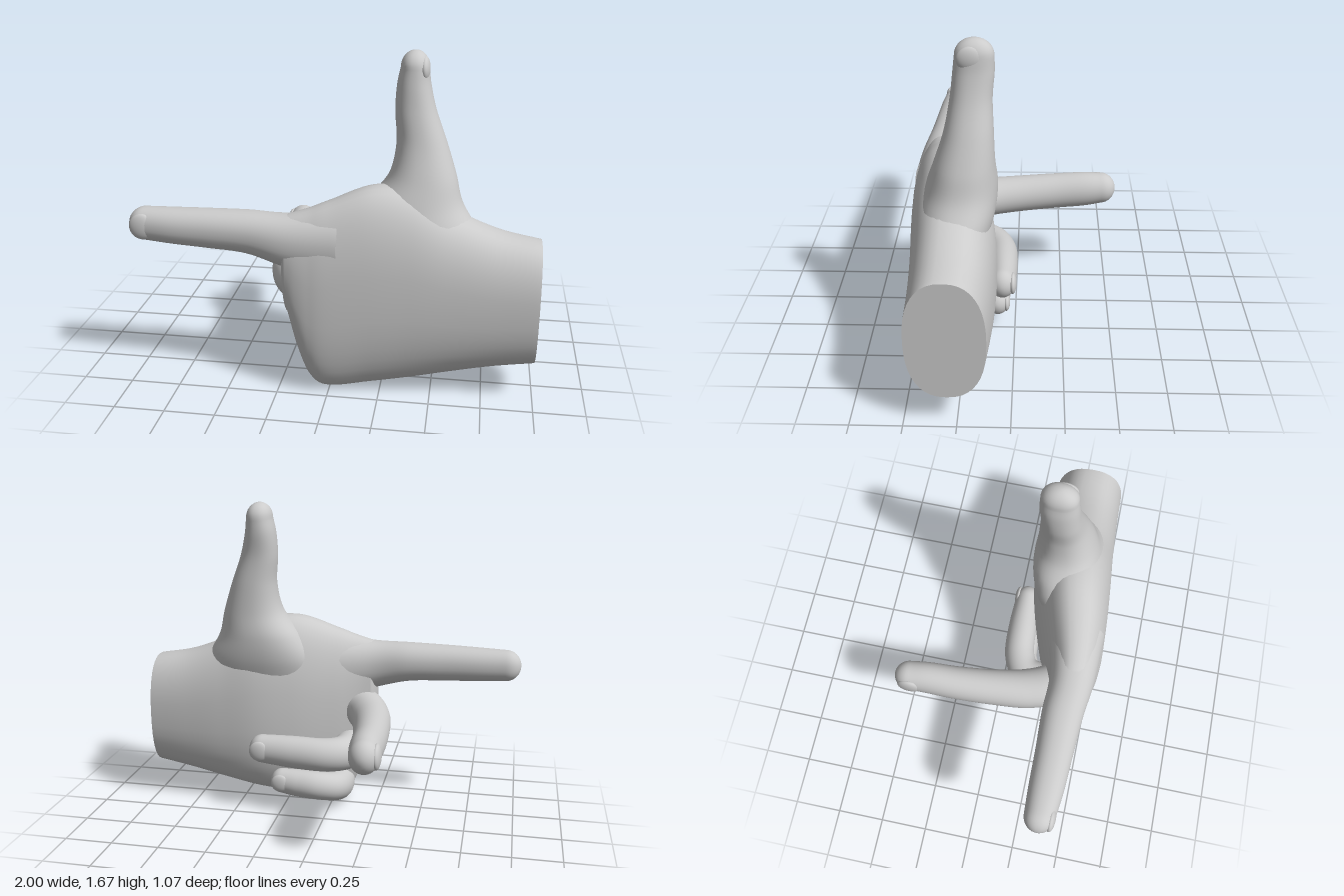
import * as THREE from 'three';

const material = new THREE.MeshStandardMaterial({ color: 0xcccccc, side: THREE.DoubleSide });
const X = new THREE.Vector3(1, 0, 0);
const Y = new THREE.Vector3(0, 1, 0);
const SIDES = 40;

// Skin along rows of [x, y, z, halfU, halfV]; halfU is measured along ref.
// With axis set all sections stay parallel, otherwise they follow the path. The end is a dome.
function loft(name, rows, ref, { axis = null, dome = 0.07, power = 2, steps = 8 } = {}) {
  const spline = (f) => new THREE.CatmullRomCurve3(rows.map(f), false, 'catmullrom', 0.5);
  const path = spline((r) => new THREE.Vector3(r[0], r[1], r[2]));
  const size = spline((r) => new THREE.Vector3(r[3], r[4], 0));
  const pos = [], index = [];
  const n = (rows.length - 1) * steps, domeSteps = 9;
  const round = (c) => Math.sign(c) * Math.abs(c) ** (2 / power);

  const addRing = (c, t, a, b) => {
    const u = ref.clone().addScaledVector(t, -ref.dot(t)).normalize();
    const v = new THREE.Vector3().crossVectors(t, u);
    for (let j = 0; j < SIDES; j++) {
      const th = (j / SIDES) * Math.PI * 2;
      const p = c.clone()
        .addScaledVector(u, a * round(Math.cos(th)))
        .addScaledVector(v, b * round(Math.sin(th)));
      pos.push(p.x, p.y, p.z);
    }
  };

  let rings = 0;
  for (let i = 0; i <= n; i++, rings++) {
    const s = size.getPoint(i / n);
    addRing(path.getPoint(i / n), axis || path.getTangent(i / n), s.x, s.y);
  }
  const end = path.getPoint(1), dir = axis || path.getTangent(1), s = size.getPoint(1);
  for (let k = 1; k < domeSteps; k++, rings++) {
    const q = (k / domeSteps) * Math.PI / 2;
    addRing(end.clone().addScaledVector(dir, dome * Math.sin(q)), dir, s.x * Math.cos(q), s.y * Math.cos(q));
  }
  for (let i = 0; i < rings - 1; i++) {
    for (let j = 0; j < SIDES; j++) {
      const a = i * SIDES + j, b = i * SIDES + (j + 1) % SIDES;
      index.push(a, b, b + SIDES, a, b + SIDES, a + SIDES);
    }
  }
  // pole of the dome
  const pole = pos.length / 3, last = (rings - 1) * SIDES;
  const tip = end.clone().addScaledVector(dir, dome);
  pos.push(tip.x, tip.y, tip.z);
  for (let j = 0; j < SIDES; j++) index.push(last + j, last + (j + 1) % SIDES, pole);
  // flat start cap with its own corners, so the rim stays sharp
  const cap = pos.length / 3;
  pos.push(...pos.slice(0, SIDES * 3), ...path.getPoint(0).toArray());
  for (let j = 0; j < SIDES; j++) index.push(cap + SIDES, cap + (j + 1) % SIDES, cap + j);

  const geo = new THREE.BufferGeometry();
  geo.setAttribute('position', new THREE.Float32BufferAttribute(pos, 3));
  geo.setIndex(index);
  geo.computeVertexNormals();
  const mesh = new THREE.Mesh(geo, material);
  mesh.name = name;
  return mesh;
}

// Nail: a flattened ellipsoid sunk into the fingertip
function nail(name, center, half) {
  const mesh = new THREE.Mesh(new THREE.SphereGeometry(1, 24, 16), material);
  mesh.position.set(...center);
  mesh.scale.set(...half);
  mesh.name = name;
  return mesh;
}

// Turns [x, y0, y1, z0, z1] extents into a loft row
const acrossX = ([x, y0, y1, z0, z1]) => [x, (y0 + y1) / 2, (z0 + z1) / 2, (y1 - y0) / 2, (z1 - z0) / 2];
// Turns [y, x0, x1, z0, z1] extents into a loft row
const acrossY = ([y, x0, x1, z0, z1]) => [(x0 + x1) / 2, y, (z0 + z1) / 2, (x1 - x0) / 2, (z1 - z0) / 2];

export function createModel() {
  const hand = new THREE.Group();
  hand.name = 'pointingHand';
  const toFingers = X.clone().negate();

  // Wrist and palm, from the flat cut to the knuckles
  hand.add(loft('palm', [
    [1, 0.19, 0.81, 0.105, 0.475],
    [0.8, 0.155, 0.85, 0.09, 0.48],
    [0.6, 0.11, 0.93, 0.08, 0.49],
    [0.4, 0.065, 1.04, 0.085, 0.505],
    [0.2, 0.035, 1.06, 0.13, 0.52],
    [0, 0.015, 0.99, 0.2, 0.53],
    [-0.09, 0.07, 0.955, 0.235, 0.525],
    [-0.15, 0.22, 0.935, 0.26, 0.515],
    [-0.2, 0.42, 0.92, 0.28, 0.5],
  ].map(acrossX), Y, { axis: toFingers, dome: 0.03, power: 2.4 }));

  // Raised thumb with a wide root
  hand.add(loft('thumb', [
    [0.72, 0.1, 0.74, 0.12, 0.46],
    [0.85, 0.11, 0.69, 0.085, 0.45],
    [0.97, 0.17, 0.62, 0.075, 0.415],
    [1.1, 0.265, 0.585, 0.085, 0.37],
    [1.25, 0.295, 0.535, 0.09, 0.32],
    [1.4, 0.285, 0.48, 0.095, 0.29],
    [1.52, 0.29, 0.45, 0.085, 0.275],
    [1.6, 0.305, 0.44, 0.085, 0.265],
  ].map(acrossY), X, { axis: Y, dome: 0.08, power: 2.2 }));
  hand.add(nail('thumbNail', [0.418, 1.595, 0.19], [0.026, 0.06, 0.065]));

  // Straight index finger
  hand.add(loft('indexFinger', [
    [0.05, 0.6, 0.95, 0.22, 0.515],
    [-0.2, 0.655, 0.92, 0.275, 0.505],
    [-0.4, 0.71, 0.92, 0.272, 0.48],
    [-0.6, 0.724, 0.917, 0.278, 0.466],
    [-0.78, 0.733, 0.912, 0.28, 0.455],
    [-0.92, 0.742, 0.908, 0.285, 0.438],
  ].map(acrossX), Y, { axis: toFingers, dome: 0.08, power: 2.2 }));
  hand.add(nail('indexNail', [-0.92, 0.825, 0.418], [0.065, 0.066, 0.024]));

  // Middle finger reaching back from the knuckles
  hand.add(loft('middleFinger', [
    [-0.06, 0.57, 0.4, 0.11, 0.11],
    [-0.17, 0.55, 0.3, 0.11, 0.11],
    [-0.225, 0.54, 0.17, 0.105, 0.105],
    [-0.255, 0.545, 0, 0.1, 0.095],
    [-0.275, 0.555, -0.2, 0.098, 0.087],
    [-0.282, 0.565, -0.36, 0.096, 0.082],
    [-0.29, 0.57, -0.46, 0.086, 0.076],
  ], Y, { dome: 0.08 }));
  hand.add(nail('middleNail', [-0.348, 0.57, -0.45], [0.024, 0.064, 0.065]));

  // Ring finger folded over the palm
  hand.add(loft('ringFinger', [
    [-0.06, 0.32, 0.4, 0.12, 0.1],
    [-0.1, 0.335, 0.27, 0.11, 0.1],
    [-0.075, 0.345, 0.14, 0.095, 0.085],
    [0.02, 0.35, 0.08, 0.09, 0.082],
    [0.18, 0.36, 0.065, 0.088, 0.078],
    [0.35, 0.37, 0.06, 0.078, 0.066],
  ], Y));
  hand.add(nail('ringNail', [0.355, 0.37, 0.008], [0.055, 0.055, 0.02]));

  // Little finger folded below it
  hand.add(loft('littleFinger', [
    [-0.01, 0.12, 0.4, 0.1, 0.09],
    [-0.035, 0.12, 0.27, 0.095, 0.085],
    [-0.02, 0.14, 0.16, 0.08, 0.075],
    [0.06, 0.16, 0.105, 0.077, 0.072],
    [0.16, 0.17, 0.095, 0.075, 0.07],
    [0.25, 0.18, 0.09, 0.068, 0.06],
  ], Y, { dome: 0.06 }));
  hand.add(nail('littleNail', [0.25, 0.18, 0.043], [0.05, 0.048, 0.019]));

  return hand;
}
